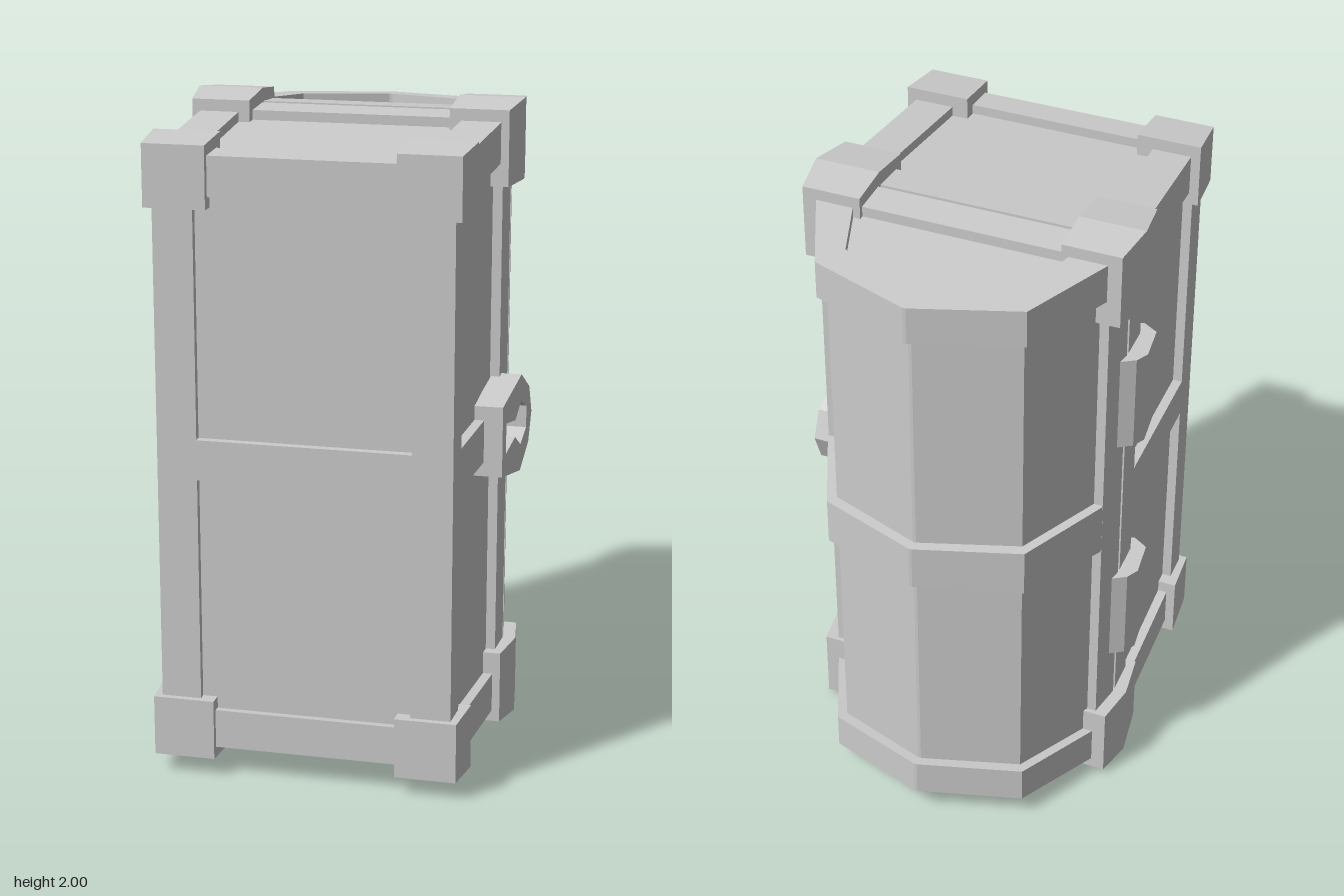
import * as THREE from 'three';

const mat = new THREE.MeshStandardMaterial({ color: 0xcccccc, flatShading: true });

// Half width and half height of the tapered base at depth z
const W = z => 0.475 - (z + 0.105) * 0.04;
const H = z => 0.955 - (z + 0.105) * 0.064;

// Rectangular sections [z, x0, x1, y0, y1] joined along z, optionally mirrored in x and y
function block(sections, sx = 1, sy = 1) {
  const rings = [...sections].sort((a, b) => a[0] - b[0]).map(([z, a, b, c, d]) => {
    const [x0, x1] = [a * sx, b * sx].sort((p, q) => p - q);
    const [y0, y1] = [c * sy, d * sy].sort((p, q) => p - q);
    return [[x0, y0, z], [x1, y0, z], [x1, y1, z], [x0, y1, z]];
  });
  const pos = [];
  const quad = (a, b, c, d) => pos.push(...a, ...b, ...c, ...a, ...c, ...d);
  for (let k = 0; k < rings.length - 1; k++) {
    for (let i = 0; i < 4; i++) {
      const j = (i + 1) % 4;
      quad(rings[k][i], rings[k][j], rings[k + 1][j], rings[k + 1][i]);
    }
  }
  quad(...rings[rings.length - 1]);
  quad(...[...rings[0]].reverse());
  const g = new THREE.BufferGeometry();
  g.setAttribute('position', new THREE.Float32BufferAttribute(pos, 3));
  g.computeVertexNormals();
  return g;
}

const toPoints = list => list.map(p => new THREE.Vector2(...p));

function extrude(outline, depth, hole) {
  const shape = new THREE.Shape(toPoints(outline));
  if (hole) shape.holes.push(new THREE.Path(toPoints(hole)));
  return new THREE.ExtrudeGeometry(shape, { depth, bevelEnabled: false });
}

// Outline of (x, -z) points extruded from y0 to y1
const extrudeY = (outline, y0, y1, hole) =>
  extrude(outline, y1 - y0, hole).rotateX(-Math.PI / 2).translate(0, y0, 0);

// Move vertices by a rule
function warp(g, rule) {
  const p = g.attributes.position, v = new THREE.Vector3();
  for (let i = 0; i < p.count; i++) {
    rule(v.fromBufferAttribute(p, i));
    p.setXYZ(i, v.x, v.y, v.z);
  }
  g.computeVertexNormals();
  return g;
}

// Half arch mirrored to a full outline
const arch = half => [...half, ...half.filter(p => p[0] > 0).reverse().map(([x, s]) => [-x, s])];

export function createModel() {
  const model = new THREE.Group();
  const chest = new THREE.Group();
  chest.name = 'chest';
  chest.position.set(-0.01, 1, 0);
  model.add(chest);
  const add = (name, geometry) => {
    const m = new THREE.Mesh(geometry, mat);
    m.name = name;
    chest.add(m);
  };

  // Base: recessed panels, rim and middle strap
  const slab = (z, inset) => [z, inset - W(z), W(z) - inset, inset - H(z), H(z) - inset];
  add('basePanels', block([slab(0.575, 0.03), slab(-0.1, 0.03)]));
  add('baseRim', block([slab(0.005, 0), slab(-0.105, 0)]));
  const strap = (z, h) => [z, -W(z), W(z), -h, h];
  add('baseStrap', block([strap(0.6, 0.062), strap(-0.1, 0.07)]));

  // Base frame bars
  for (const s of [1, -1]) {
    const long = z => [z, W(z) - 0.122, W(z), -H(z), H(z)];
    add('bottomLongBar', block([long(0.6), long(0.502)], s, 1));
    const short = z => [z, -W(z), W(z), H(z) - 0.12, H(z)];
    add('bottomShortBar', block([short(0.6), short(0.502)], 1, s));
    for (const t of [1, -1]) {
      const edge = z => [z, W(z) - 0.122, W(z), H(z) - 0.125, H(z)];
      add('cornerBar', block([edge(0.6), edge(-0.1)], s, t));
      // Corner caps at the bottom and across the rim
      add('bottomCorner', block([[0.62, 0.28, 0.468, 0.755, 0.942], [0.46, 0.28, 0.482, 0.755, 0.957]], s, t));
      add('rimCorner', block([
        [0.04, 0.312, 0.494, 0.75, 0.982],
        [-0.11, 0.312, 0.516, 0.75, 1],
        [-0.245, 0.312, 0.495, 0.75, 0.984],
      ], s, t));
    }
  }

  // Faceted lid with ends that lean inward
  const outer = arch([[0.475, 0.12], [0.455, 0.24], [0.322, 0.52], [0.005, 0.625]].map(([x, s]) => [x, s]));
  const core = arch([[0.445, 0.125], [0.428, 0.23], [0.303, 0.49], [0.005, 0.592]]);
  const opening = arch([[0.34, 0.23], [0.267, 0.435], [0.005, 0.54]]);
  const lean = g => warp(g, v => { v.y *= 1 + (v.z + 0.12) * 0.07; });
  add('lidPanels', lean(extrudeY(core, -0.925, 0.925)));
  add('lidStrap', warp(extrudeY(outer, -0.09, 0.09), v => { v.y *= 1 + (v.z + 0.12) * 0.4; }));
  add('lidEndBand', lean(extrudeY(outer, 0.835, 0.957, opening)));
  add('lidEndBand', lean(extrudeY(outer, -0.957, -0.835, opening)));
  add('lidRim', block([[-0.12, -0.475, 0.475, -0.957, 0.957], [-0.23, -0.457, 0.457, -0.95, 0.95]]));

  // Lock plate with a keyhole, its face sloping with z; outline in (-z, y)
  const plate = [[-0.21, -0.11], [0.02, -0.155], [0.125, -0.09], [0.16, 0], [0.125, 0.09], [0.02, 0.155], [-0.21, 0.11]];
  const keyhole = [[-0.165, -0.048], [-0.05, -0.027], [0.02, -0.07], [0.092, -0.035],
    [0.092, 0.035], [0.02, 0.07], [-0.05, 0.027], [-0.165, 0.048]];
  const lock = extrude(plate, 0.09, keyhole).rotateY(Math.PI / 2);
  add('lock', warp(lock, v => { v.x += 0.444 - 0.068 * v.z; }));

  // Hinges
  const hinge = [[-0.45, 0.17], [-0.51, 0.13], [-0.53, 0.09], [-0.513, -0.03], [-0.465, -0.06], [-0.44, -0.05]];
  for (const y of [-0.405, 0.415]) add('hinge', extrudeY(hinge, y - 0.155, y + 0.155));

  return model;
}
